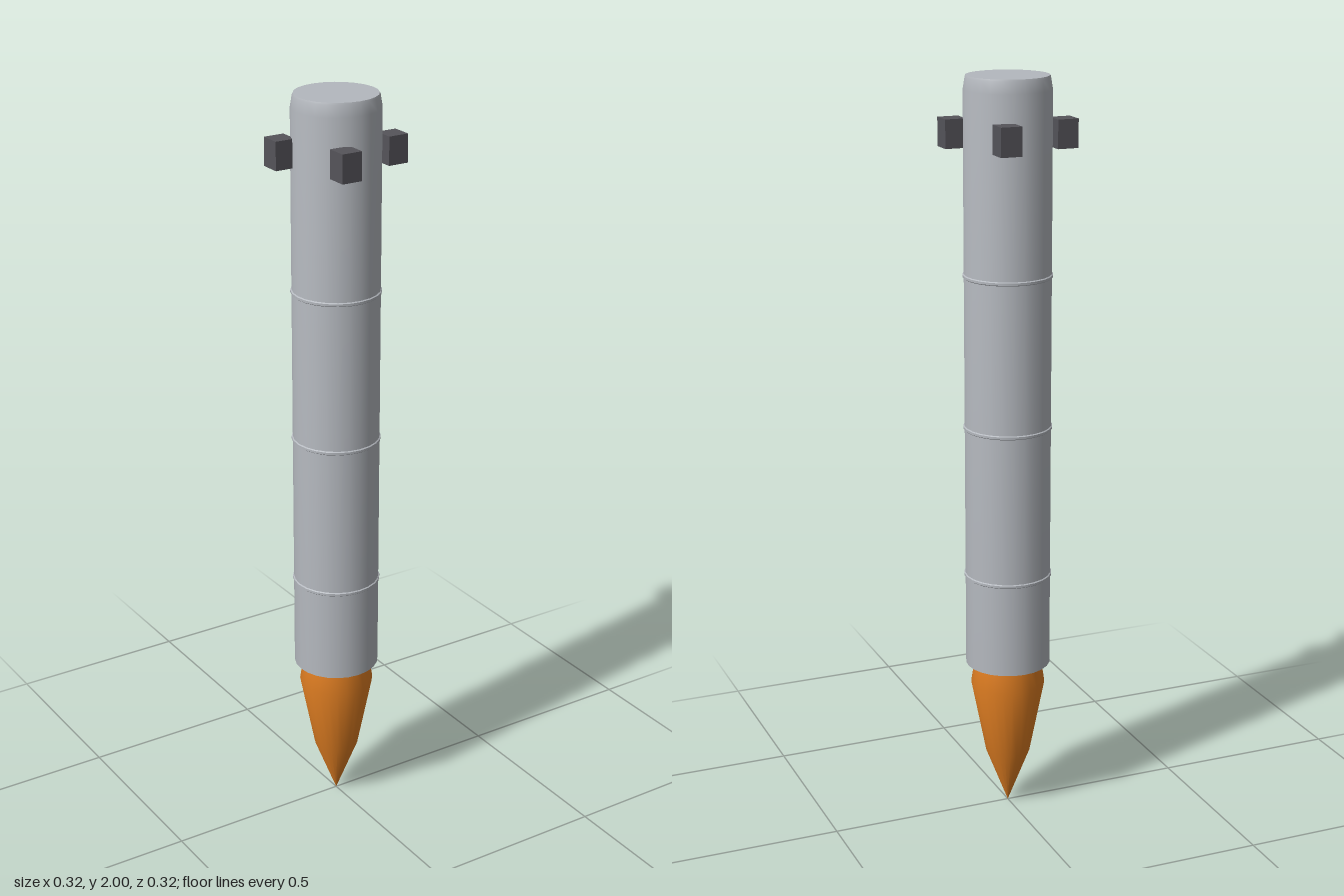
import * as THREE from 'three';
import { toCreasedNormals } from 'three/addons/utils/BufferGeometryUtils.js';

const SIDES = 24;

// Spins [radius, height] points, listed bottom to top, about the y axis.
function turned(name, points, material, crease) {
  const profile = points.map(([r, y]) => new THREE.Vector2(r, y));
  const geometry = toCreasedNormals(new THREE.LatheGeometry(profile, SIDES), crease);
  const mesh = new THREE.Mesh(geometry, material);
  mesh.name = name;
  return mesh;
}

export function createModel() {
  const hullGrey = new THREE.MeshStandardMaterial({ color: 0xb4b8be });
  hullGrey.name = 'hull grey';
  const darkGrey = new THREE.MeshStandardMaterial({ color: 0x55545a });
  darkGrey.name = 'dark grey';
  const orange = new THREE.MeshStandardMaterial({ color: 0xe07e22 });
  orange.name = 'orange';

  const model = new THREE.Group();
  model.name = 'rocketBooster';

  // Main tube with a flat base and a slightly tapered rim at the top
  model.add(turned('body', [
    [0, 0.42], [0.114, 0.42], [0.114, 1.965], [0.109, 1.995], [0.107, 2], [0, 2],
  ], hullGrey, 0.4));

  // Thin raised joint bands
  for (const y of [0.675, 1.085, 1.49]) {
    model.add(turned('jointBand', [
      [0.113, y - 0.006], [0.117, y - 0.003], [0.117, y + 0.003], [0.113, y + 0.006],
    ], hullGrey, 0.9));
  }

  // Pointed exhaust plume below the tube
  model.add(turned('exhaustPlume', [
    [0, 0], [0.06, 0.155], [0.1, 0.36], [0.09, 0.425],
  ], orange, 0.6));

  // Four blocks set off-centre in a pinwheel near the top
  const blockGeometry = new THREE.BoxGeometry(0.056, 0.074, 0.056);
  for (let i = 0; i < 4; i++) {
    const mount = new THREE.Group();
    mount.name = 'thrusterMount';
    mount.rotation.y = i * Math.PI / 2;
    const block = new THREE.Mesh(blockGeometry, darkGrey);
    block.name = 'thrusterBlock';
    block.position.set(0.13, 1.856, 0.055);
    mount.add(block);
    model.add(mount);
  }

  return model;
}
